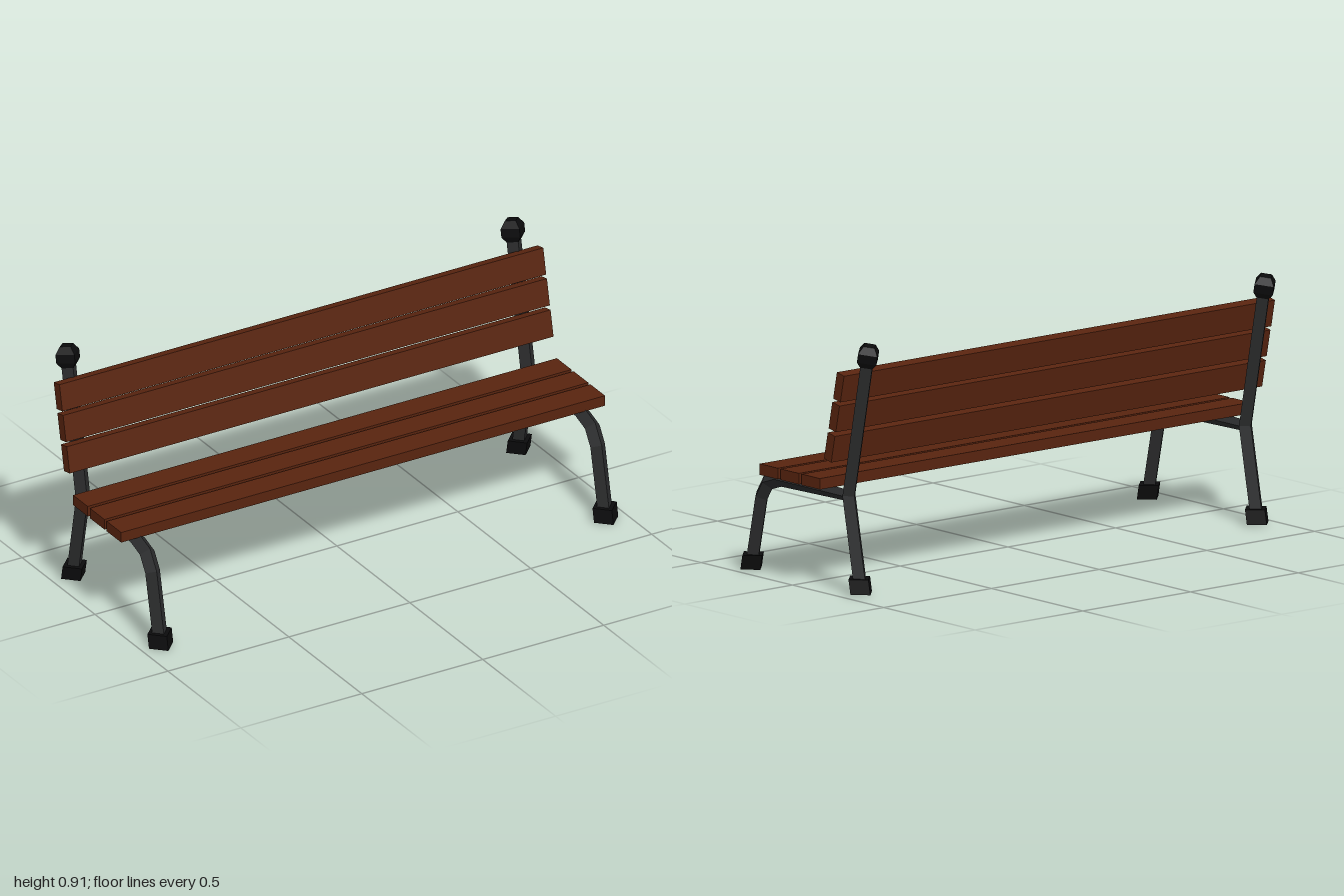
import * as THREE from 'three';

const wood = new THREE.MeshStandardMaterial({ color: 0x58240f });
wood.name = 'brownWood';
const iron = new THREE.MeshStandardMaterial({ color: 0x2a2b2c });
iron.name = 'darkIron';
const black = new THREE.MeshStandardMaterial({ color: 0x0b0b0c });
black.name = 'blackCap';

const TILT = 0.205; // lean of the backrest

// Give every face its own flat normal
function faceted(geometry) {
  const flat = geometry.toNonIndexed();
  flat.computeVertexNormals();
  return flat;
}

function add(parent, name, geometry, material, x, y, z) {
  const mesh = new THREE.Mesh(geometry, material);
  mesh.name = name;
  mesh.position.set(x, y, z);
  parent.add(mesh);
  return mesh;
}

// Diamond-section bar mitred along a path of [z, y, radius] points
function bar(path) {
  const pts = path.map(([z, y]) => new THREE.Vector2(z, y));
  const positions = [];
  const indices = [];
  path.forEach(([z, y, r = 0.03], i) => {
    const before = pts[i].clone().sub(pts[Math.max(i - 1, 0)]).normalize();
    const after = pts[Math.min(i + 1, pts.length - 1)].clone().sub(pts[i]).normalize();
    const t = before.clone().add(after).normalize();
    const inner = i === 0 || i === pts.length - 1;
    const miter = inner ? 1 : 1 / t.dot(after);
    for (let k = 0; k < 4; k++) {
      const c = Math.cos(k * Math.PI / 2) * r;
      const s = Math.sin(k * Math.PI / 2) * r * miter;
      positions.push(c, y + s * t.x, z - s * t.y);
      if (i < path.length - 1) {
        const a = i * 4 + k;
        const b = i * 4 + (k + 1) % 4;
        indices.push(a, b, b + 4, a, b + 4, a + 4);
      }
    }
  });
  const geometry = new THREE.BufferGeometry();
  geometry.setAttribute('position', new THREE.Float32BufferAttribute(positions, 3));
  geometry.setIndex(indices);
  return faceted(geometry);
}

// Diamond foot with level ends, leaning with its leg
function foot(lean) {
  const geometry = new THREE.CylinderGeometry(0.05, 0.05, 0.053, 4);
  const p = geometry.attributes.position;
  for (let i = 0; i < p.count; i++) p.setZ(i, p.getZ(i) + p.getY(i) * lean);
  return faceted(geometry);
}

// Four-sided finial with bevelled top and bottom
function finial() {
  const profile = [[0, -0.04], [0.03, -0.04], [0.049, -0.018], [0.049, 0.014], [0.028, 0.04], [0, 0.04]];
  return faceted(new THREE.LatheGeometry(profile.map(([r, y]) => new THREE.Vector2(r, y)), 4));
}

function endFrame(name, x) {
  const frame = new THREE.Group();
  frame.name = name;
  frame.position.x = x;
  // Front leg bending into the seat rail
  add(frame, 'frontLegAndRail', bar([
    [0.316, 0.02], [0.262, 0.27], [0.225, 0.328], [0.16, 0.35], [-0.215, 0.347, 0.02],
  ]), iron, 0, 0, 0);
  // Rear leg continuing into the back post
  add(frame, 'rearLegAndPost', bar([[-0.279, 0.025], [-0.215, 0.35], [-0.318, 0.86]]), iron, 0, 0, 0);
  add(frame, 'frontFoot', foot(-0.2), black, 0, 0.0265, 0.315);
  add(frame, 'rearFoot', foot(0.2), black, 0, 0.0325, -0.277);
  add(frame, 'finial', finial(), black, 0, 0.87, -0.32).rotation.x = -TILT;
  return frame;
}

export function createModel() {
  const bench = new THREE.Group();
  bench.name = 'parkBench';

  bench.add(endFrame('leftFrame', 0.92), endFrame('rightFrame', -0.92));

  // Seat slats
  [0.13, 0.015, -0.1].forEach((z, i) => {
    add(bench, `seatSlat${i + 1}`, new THREE.BoxGeometry(2, 0.04, 0.1), wood, 0, 0.39, z);
  });

  // Backrest slats
  [[0.531, -0.203], [0.645, -0.228], [0.757, -0.253]].forEach(([y, z], i) => {
    add(bench, `backSlat${i + 1}`, new THREE.BoxGeometry(2, 0.1, 0.04), wood, 0, y, z).rotation.x = -TILT;
  });

  return bench;
}
